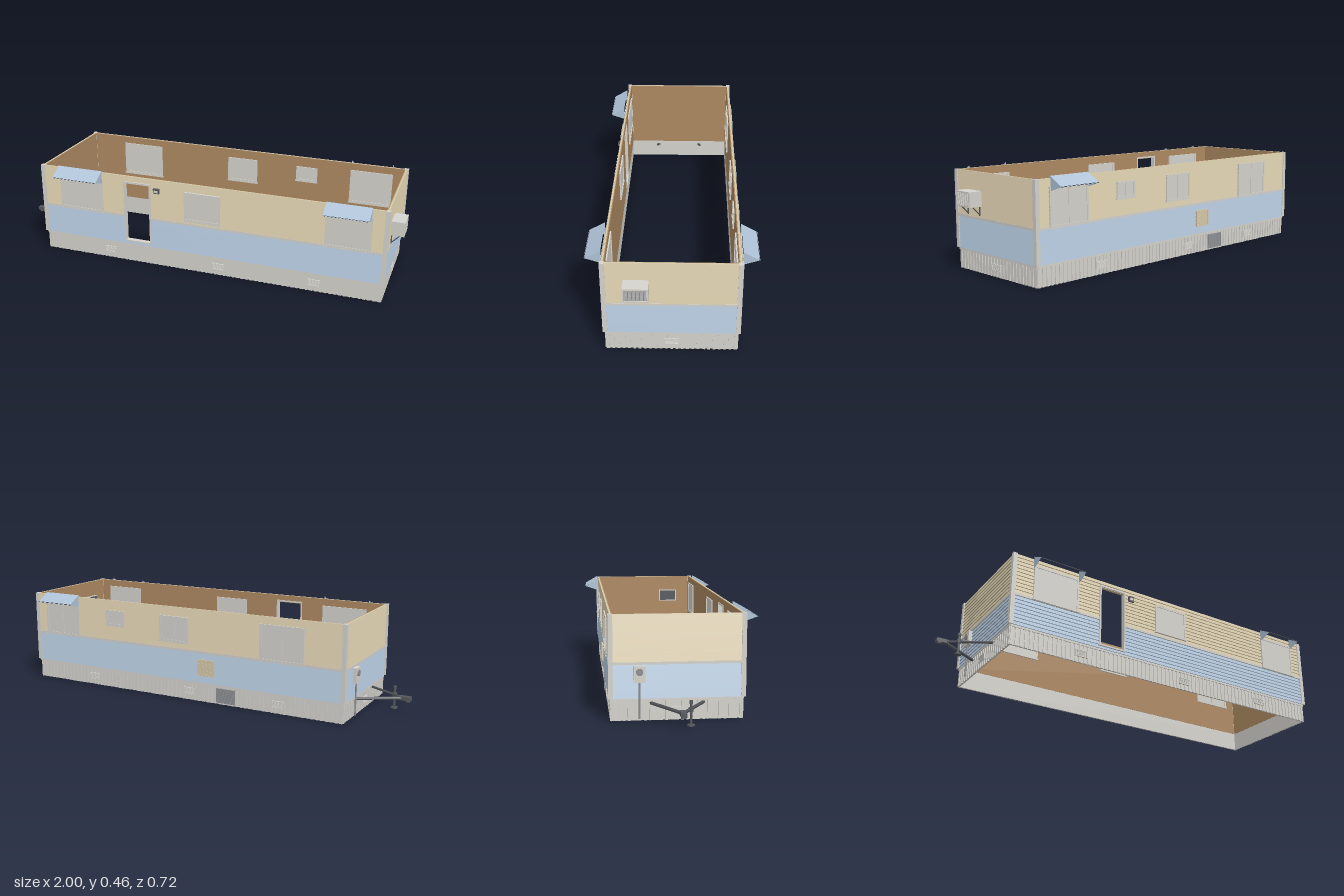
import * as THREE from 'three';

const mat = (name, color) => Object.assign(new THREE.MeshStandardMaterial({ color }), { name });

export function createModel() {
  const tan = mat('tan siding', 0xd6c9a9);
  const blue = mat('blue paint', 0xb0c4d8);
  const grey = mat('light grey trim', 0xd6d4ce);
  const brown = mat('brown lining', 0xae8a62);
  const dark = mat('dark metal', 0x56595e);
  const mid = mat('grey metal', 0x8d9094);

  const model = new THREE.Group();
  model.name = 'trailerHome';
  const CX = 0.078, HALF_X = 0.865, HALF_Z = 0.29;

  const add = (parent, name, geo, material) => {
    const mesh = new THREE.Mesh(geo, material);
    mesh.name = name;
    parent.add(mesh);
    return mesh;
  };
  // Box given by its two extremes on each axis
  const box = (parent, name, material, x0, x1, y0, y1, z0, z1) => {
    const geo = new THREE.BoxGeometry(x1 - x0, y1 - y0, z1 - z0);
    geo.translate((x0 + x1) / 2, (y0 + y1) / 2, (z0 + z1) / 2);
    return add(parent, name, geo, material);
  };
  // Round bar between two points
  const bar = (parent, name, material, a, b, r, sides = 8) => {
    const p = new THREE.Vector3(...a), q = new THREE.Vector3(...b);
    const mesh = add(parent, name, new THREE.CylinderGeometry(r, r, p.distanceTo(q), sides), material);
    mesh.position.copy(p).add(q).multiplyScalar(0.5);
    mesh.quaternion.setFromUnitVectors(new THREE.Vector3(0, 1, 0), q.sub(p).normalize());
    return mesh;
  };
  // Four-sided frame
  const frame = (parent, name, material, x0, x1, y0, y1, z0, z1, t) => {
    box(parent, name, material, x0, x0 + t, y0, y1, z0, z1);
    box(parent, name, material, x1 - t, x1, y0, y1, z0, z1);
    box(parent, name, material, x0 + t, x1 - t, y0, y0 + t, z0, z1);
    box(parent, name, material, x0 + t, x1 - t, y1 - t, y1, z0, z1);
  };
  const group = (parent, name) => {
    const g = new THREE.Group();
    g.name = name;
    parent.add(g);
    return g;
  };

  // One lap board: thick at its lower edge, thinner at the top
  const lapBoard = (parent, material, x0, x1, y0, y1) => {
    const mesh = box(parent, 'lapBoard', material, x0, x1, y0, y1, -0.015, -0.002);
    const p = mesh.geometry.attributes.position;
    for (let i = 0; i < p.count; i++)
      if (p.getZ(i) > -0.01 && p.getY(i) > (y0 + y1) / 2) p.setZ(i, -0.007);
    mesh.geometry.computeVertexNormals();
  };

  // A whole side; in its frame x runs along, y up, z = 0 is the outer face
  const DOOR = { x0: -0.33 - CX, x1: -0.2 - CX, y0: 0.113, y1: 0.4136 };
  const makeSide = (name, angle, half, reach, door) => {
    const turn = group(model, name);
    turn.position.x = CX;
    turn.rotation.y = angle;
    const side = group(turn, name + 'Face');
    side.position.z = reach;
    const L = half - 0.015;

    const courses = (material, y0, y1, n) => {
      const h = (y1 - y0) / n;
      for (let i = 0; i < n; i++) {
        const a = y0 + i * h, c = a + h / 2;
        const cut = door && c > door.y0 && c < door.y1;
        const spans = cut ? [[-L, door.x0], [door.x1, L]] : [[-L, L]];
        for (const [s, e] of spans) lapBoard(side, material, s, e, a, a + h);
      }
    };
    courses(blue, 0.095, 0.239, 8);
    courses(tan, 0.25, 0.45, 11);
    const spans = door ? [[-L, door.x0], [door.x1, L]] : [[-L, L]];
    for (const [s, e] of spans) {
      box(side, 'beltTrim', grey, s, e, 0.239, 0.25, -0.015, -0.001);
      box(side, 'innerLining', brown, s, e, 0.095, 0.449, -0.019, -0.015);
    }
    if (door) {
      box(side, 'liningUnderDoor', brown, door.x0, door.x1, 0.095, door.y0, -0.019, -0.015);
      box(side, 'liningOverDoor', brown, door.x0, door.x1, door.y1, 0.449, -0.019, -0.015);
    }

    // Ribbed skirt with cap strip
    const S = half - 0.009;
    box(side, 'skirtPanel', grey, -S, S, 0, 0.095, -0.018, -0.012);
    box(side, 'skirtCap', grey, -S, S, 0.085, 0.095, -0.012, -0.006);
    const n = Math.round(2 * S / 0.0225), step = 2 * S / n;
    for (let i = 0; i < n; i++) {
      const x = -S + (i + 0.5) * step;
      box(side, 'skirtRib', grey, x - 0.006, x + 0.006, 0, 0.085, -0.012, -0.008);
    }
    return side;
  };

  const front = makeSide('frontSide', 0, HALF_X, HALF_Z, DOOR);
  const back = makeSide('backSide', Math.PI, HALF_X, HALF_Z);
  const leftEnd = makeSide('leftEnd', Math.PI / 2, HALF_Z, HALF_X);
  const hitchEnd = makeSide('hitchEnd', -Math.PI / 2, HALF_Z, HALF_X);

  // Corner posts
  for (const sx of [-1, 1]) for (const sz of [-1, 1]) {
    const post = add(model, 'cornerPost', new THREE.BoxGeometry(0.02, 0.356, 0.02), grey);
    post.position.set(CX + sx * (HALF_X - 0.01), 0.273, sz * (HALF_Z - 0.01));
  }

  // Windows pass through the wall and show on both faces
  const makeWindow = (side, x0, x1, y0, y1, split) => {
    const g = group(side, 'window');
    box(g, 'glass', grey, x0 + 0.008, x1 - 0.008, y0 + 0.008, y1 - 0.008, -0.021, 0);
    frame(g, 'windowFrame', grey, x0, x1, y0, y1, -0.025, 0.003, 0.009);
    const m = (x0 + x1) / 2;
    if (split) box(g, 'mullion', grey, m - 0.004, m + 0.004, y0 + 0.009, y1 - 0.009, -0.024, 0.002);
    box(g, 'windowSill', grey, x0 - 0.004, x1 + 0.004, y0 - 0.005, y0, -0.026, 0.004);
  };
  // Sloped awning with triangular cheeks
  const makeAwning = (side, x0, x1) => {
    const g = group(side, 'awning');
    const w = x1 - x0, drop = 0.04, out = 0.07;
    const canopy = add(g, 'canopy', new THREE.PlaneGeometry(w, Math.hypot(drop, out)), blue);
    canopy.position.set((x0 + x1) / 2, 0.44, out / 2);
    canopy.rotation.x = -Math.atan2(out, drop);
    const tri = new THREE.Shape([[0, 0.459], [0, 0.397], [out - 0.001, 0.42]].map(p => new THREE.Vector2(...p)));
    for (const x of [x0, x1 - 0.002]) {
      const geo = new THREE.ExtrudeGeometry(tri, { depth: 0.002, bevelEnabled: false });
      const cheek = add(g, 'awningCheek', geo.rotateY(-Math.PI / 2), blue);
      cheek.position.x = x + 0.002;
    }
    bar(g, 'awningRod', dark, [x0, 0.42, out - 0.003], [x1, 0.42, out - 0.003], 0.002);
  };

  const f = x => x - CX, b = x => CX - x;
  makeWindow(front, f(-0.68), f(-0.45), 0.245, 0.415, false);
  makeWindow(front, f(-0.02), f(0.16), 0.265, 0.41, false);
  makeWindow(front, f(0.66), f(0.87), 0.245, 0.415, false);
  makeWindow(back, b(0.87), b(0.66), 0.245, 0.415, true);
  makeWindow(back, b(0.49), b(0.38), 0.325, 0.4, true);
  makeWindow(back, b(0.17), b(0.01), 0.28, 0.405, true);
  makeWindow(back, b(-0.37), b(-0.59), 0.245, 0.415, true);
  makeAwning(front, f(-0.685), f(-0.45));
  makeAwning(front, f(0.66), f(0.865));
  makeAwning(back, b(0.865), b(0.66));

  // Open doorway with trim
  frame(front, 'doorFrame', grey, DOOR.x0 - 0.006, DOOR.x1 + 0.006, 0.108, 0.424, -0.022, 0.002, 0.008);

  // Porch lamp
  box(front, 'lampBase', dark, f(-0.177), f(-0.147), 0.383, 0.408, -0.004, 0.004);
  box(front, 'lampGlass', grey, f(-0.171), f(-0.153), 0.389, 0.402, 0.004, 0.009);
  box(front, 'lampCap', dark, f(-0.175), f(-0.149), 0.402, 0.408, 0.004, 0.011);

  // Louvred plate used for skirt vents and hatches
  const louvre = (side, name, x, w, y0, y1, z, material, slatMat, n) => {
    const g = group(side, name);
    box(g, name + 'Plate', material, x - w / 2, x + w / 2, y0, y1, z - 0.008, z);
    frame(g, name + 'Rim', material, x - w / 2, x + w / 2, y0, y1, z, z + 0.003, 0.004);
    const h = (y1 - y0 - 0.008) / n;
    for (let i = 0; i < n; i++) {
      const y = y0 + 0.004 + i * h;
      box(g, name + 'Slat', slatMat, x - w / 2 + 0.005, x + w / 2 - 0.005, y + h * 0.2, y + h * 0.7, z, z + 0.002);
    }
  };
  for (const side of [front, back])
    for (const x of [-0.5, 0.072, 0.542]) louvre(side, 'skirtVent', x, 0.065, 0.027, 0.06, -0.007, grey, grey, 5);
  for (const side of [leftEnd, hitchEnd]) louvre(side, 'skirtVent', 0, 0.062, 0.027, 0.058, -0.007, grey, grey, 5);
  louvre(back, 'accessGrille', b(-0.19), 0.1, 0.008, 0.078, -0.006, mid, mid, 8);
  louvre(back, 'wallHatch', b(-0.088), 0.088, 0.13, 0.21, 0, tan, tan, 6);

  // Window air conditioner on the left end
  const ac = group(leftEnd, 'airConditioner');
  box(ac, 'acBody', grey, -0.197, -0.092, 0.3, 0.368, -0.026, 0.052);
  frame(ac, 'acRim', grey, -0.197, -0.092, 0.3, 0.368, 0.052, 0.057, 0.007);
  box(ac, 'acGrilleBack', mid, -0.19, -0.099, 0.307, 0.361, 0.052, 0.053);
  for (let i = 0; i < 17; i++) {
    const x = -0.187 + i * 0.0053;
    box(ac, 'acFin', grey, x - 0.001, x + 0.001, 0.308, 0.36, 0.053, 0.056);
  }
  box(ac, 'acInnerGrille', dark, -0.192, -0.097, 0.305, 0.363, -0.029, -0.026);
  for (const x of [-0.189, -0.1]) {
    bar(ac, 'acStrut', dark, [x, 0.262, 0], [x, 0.299, 0.036], 0.0025);
    box(ac, 'acBracket', dark, x - 0.002, x + 0.002, 0.258, 0.3, -0.002, 0.003);
  }

  // Tow hitch: A-frame, coupler and jack
  const hitch = group(model, 'towHitch');
  for (const s of [-1, 1]) bar(hitch, 'drawBar', dark, [-0.755, 0.075, s * 0.125], [-0.96, 0.075, s * 0.004], 0.007, 4);
  box(hitch, 'coupler', dark, -1, -0.945, 0.066, 0.084, -0.012, 0.012);
  const ball = add(hitch, 'couplerSocket', new THREE.CylinderGeometry(0.01, 0.012, 0.014, 12), dark);
  ball.position.set(-0.985, 0.067, 0);
  bar(hitch, 'jackPost', dark, [-0.91, 0.01, 0.04], [-0.91, 0.11, 0.04], 0.005, 10);
  bar(hitch, 'jackFoot', dark, [-0.91, 0.008, 0.04], [-0.91, 0.014, 0.04], 0.016, 12);
  bar(hitch, 'jackCollar', dark, [-0.91, 0.066, 0.04], [-0.91, 0.084, 0.04], 0.01, 12);
  bar(hitch, 'jackHead', dark, [-0.91, 0.1, 0.04], [-0.91, 0.114, 0.04], 0.008, 12);

  // Power meter with conduit on the hitch end
  const meter = group(hitchEnd, 'powerMeter');
  box(meter, 'meterBox', grey, -0.185, -0.135, 0.165, 0.235, -0.006, 0.013);
  bar(meter, 'meterDial', mid, [-0.16, 0.21, 0.012], [-0.16, 0.21, 0.018], 0.015, 16);
  bar(meter, 'conduit', mid, [-0.16, 0.01, 0.004], [-0.16, 0.166, 0.004], 0.004, 8);

  return model;
}
